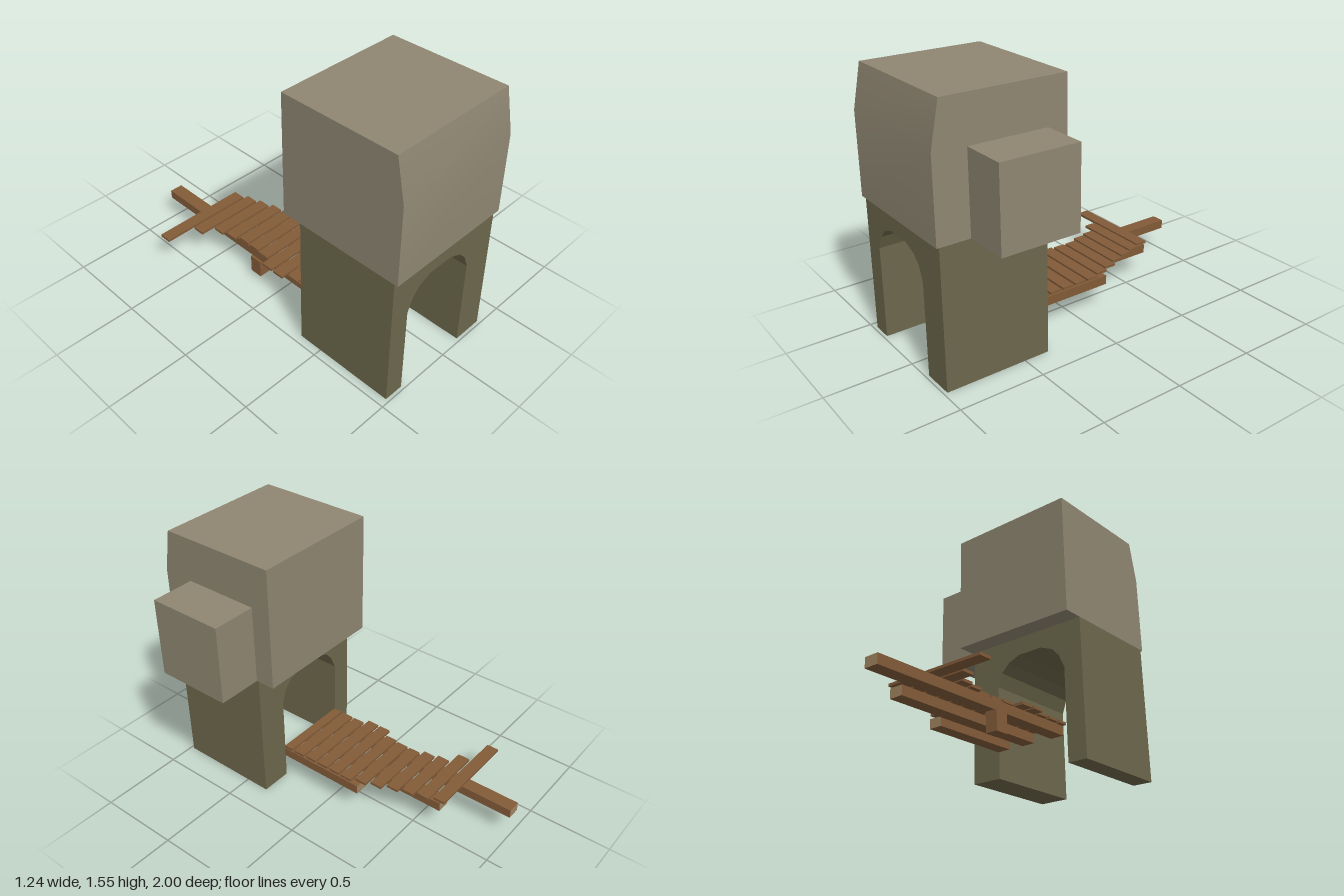
import * as THREE from 'three';
import { toCreasedNormals } from 'three/addons/utils/BufferGeometryUtils.js';

const material = (name, color) => {
  const m = new THREE.MeshStandardMaterial({ color });
  m.name = name;
  return m;
};

const shapeOf = (points) => new THREE.Shape(points.map(([x, y]) => new THREE.Vector2(x, y)));

export function createModel() {
  const model = new THREE.Group();
  const paleStone = material('pale stone', 0x8f8672);
  const mossStone = material('moss stone', 0x6c674b);
  const wood = material('wood', 0x825b38);
  const cutWood = material('cut wood', 0xa08560);

  const add = (name, geometry, mat, parent = model) => {
    const mesh = new THREE.Mesh(geometry, mat);
    mesh.name = name;
    parent.add(mesh);
    return mesh;
  };

  // Box given by its extents on each axis
  const addBox = (name, [x0, x1], [y0, y1], [z0, z1], mat, parent) => {
    const box = new THREE.BoxGeometry(x1 - x0, y1 - y0, z1 - z0);
    box.translate((x0 + x1) / 2, (y0 + y1) / 2, (z0 + z1) / 2);
    return add(name, box, mat, parent);
  };

  // Gate base with a faceted arch running through it
  const arch = shapeOf([
    [-0.45, 0], [-0.33, 0], [-0.33, 0.55], [-0.295, 0.63], [-0.25, 0.68], [-0.17, 0.712],
    [-0.01, 0.712], [0.07, 0.68], [0.12, 0.63], [0.15, 0.55], [0.15, 0], [0.338, 0],
    [0.338, 0.82], [-0.45, 0.82],
  ]);
  const baseGeometry = new THREE.ExtrudeGeometry(arch, { depth: 0.63, bevelEnabled: false });
  baseGeometry.translate(0, 0, 0.35);
  add('archBase', baseGeometry, mossStone);

  // Upper block: side profile swept across x, front leaning back near the top
  const profile = shapeOf([[-1, 0.82], [-0.23, 0.82], [-0.23, 1.55], [-0.95, 1.55], [-1, 1.3]]);
  const upper = new THREE.ExtrudeGeometry(profile, { depth: 0.8, bevelEnabled: false });
  upper.rotateY(Math.PI / 2);
  upper.translate(-0.45, 0, 0);
  add('upperBlock', toCreasedNormals(upper, 0.5), paleStone);

  // Side annex
  addBox('sideBlock', [0.35, 0.615], [0.82, 1.29], [0.35, 0.81], paleStone);

  // Broken wooden bridge
  const bridge = new THREE.Group();
  bridge.name = 'bridge';
  model.add(bridge);

  // Beams [left edge, far end], with pale sawn ends
  const beamMaterials = [wood, wood, wood, wood, cutWood, cutWood];
  for (const [x, end] of [[-0.302, -1], [-0.102, -0.66], [0.074, -0.207]]) {
    addBox('beam', [x, x + 0.082], [0.155, 0.21], [end, 0.35], beamMaterials, bridge);
  }
  addBox('post', [-0.316, -0.244], [0.042, 0.155], [-0.216, -0.136], wood, bridge);

  // Planks [left, right], from the far end towards the gate
  const planks = [
    [-0.62, -0.03], [-0.435, 0], [-0.35, 0.025], [-0.33, 0.052], [-0.302, 0.09], [-0.302, 0.12],
    [-0.31, 0.146], [-0.36, 0.146], [-0.36, 0.146], [-0.325, 0.146], [-0.325, 0.15], [-0.325, 0.15],
  ];
  planks.forEach((span, i) => {
    const z = -0.682 + i * 0.0886;
    addBox('plank', span, [0.21, 0.225], [z, Math.min(z + 0.074, 0.35)], wood, bridge);
  });

  return model;
}
